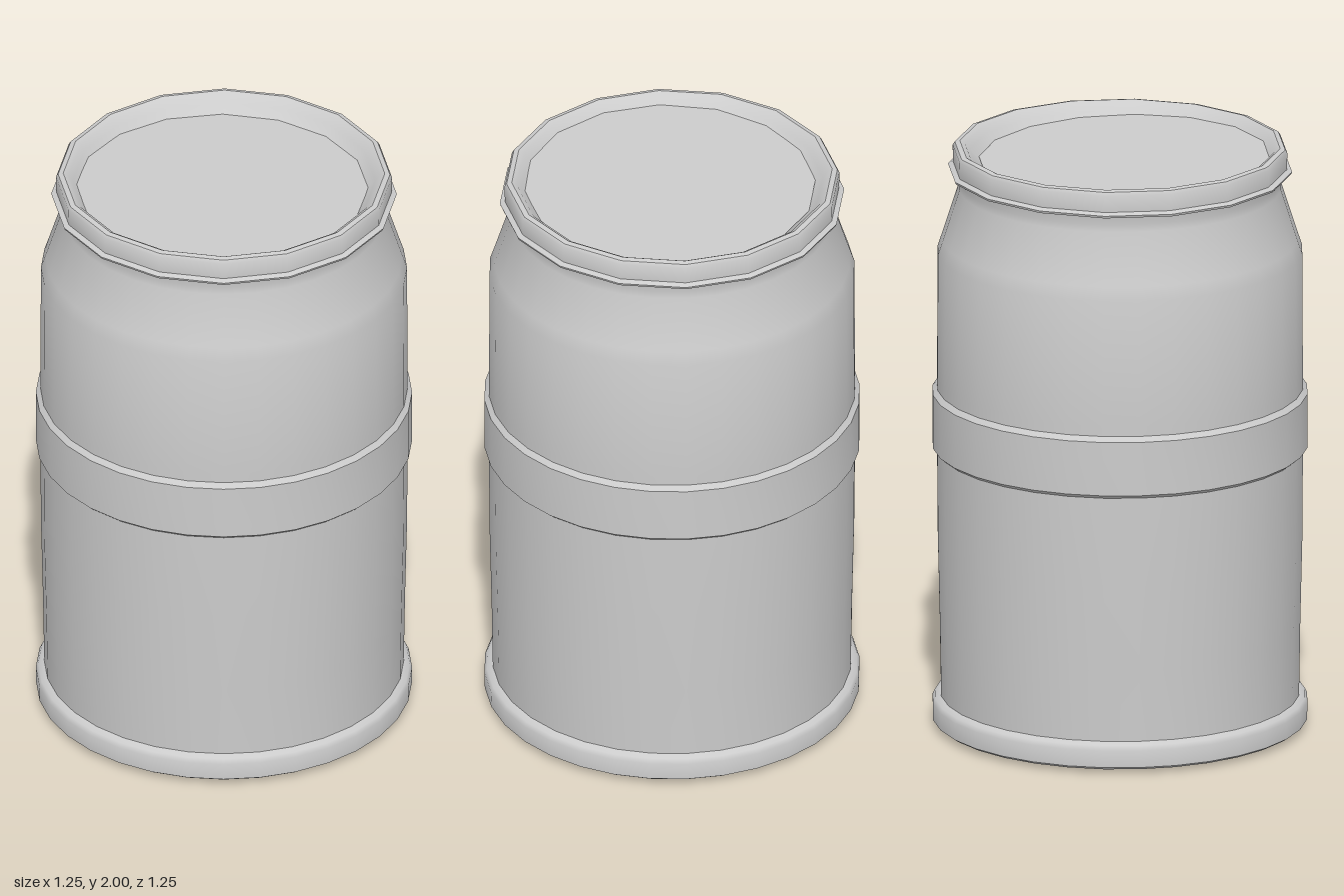
import * as THREE from 'three';
import { toCreasedNormals } from 'three/addons/utils/BufferGeometryUtils.js';

const material = new THREE.MeshStandardMaterial({ color: 0xcccccc, side: THREE.DoubleSide });

// Turned part: profile of [radius, height] points, listed from the underside upward.
function turned(name, profile, sides, crease) {
  const points = profile.map(([r, y]) => new THREE.Vector2(r, y));
  const geometry = toCreasedNormals(new THREE.LatheGeometry(points, sides), crease);
  const mesh = new THREE.Mesh(geometry, material);
  mesh.name = name;
  return mesh;
}

export function createModel() {
  const barrel = new THREE.Group();
  barrel.name = 'barrel';

  // Underside bulging slightly at its centre, inside a low foot rim
  barrel.add(turned('base', [
    [0, 0], [0.13, 0.006], [0.4, 0.024], [0.53, 0.034], [0.575, 0.03], [0.582, 0.012],
    [0.61, 0.012], [0.625, 0.022], [0.626, 0.08], [0.618, 0.096], [0.598, 0.105],
  ], 32, 0.7));

  // Slightly tapered wall, sloping shoulder and neck
  barrel.add(turned('body', [
    [0.598, 0.1], [0.602, 0.35], [0.609, 0.65], [0.611, 0.95], [0.611, 1.2],
    [0.609, 1.635], [0.594, 1.68], [0.538, 1.855], [0.536, 1.88], [0.542, 1.915],
  ], 32, 0.7));

  // Raised band round the middle
  barrel.add(turned('middleBand', [
    [0.608, 0.95], [0.626, 0.965], [0.626, 1.15], [0.608, 1.17],
  ], 32, 0.5));

  // Coarser clamping ring with a thin flange below and a rounded lip
  const lid = new THREE.Group();
  lid.name = 'lid';
  lid.add(turned('lidRing', [
    [0.52, 1.905], [0.572, 1.912], [0.575, 1.92], [0.558, 1.928], [0.559, 1.985],
    [0.552, 1.996], [0.535, 2], [0.518, 1.99], [0.503, 1.971], [0.465, 1.936],
  ], 16, 0.7));

  // Recessed lid panel, tipped down a little toward the back
  const panel = new THREE.Mesh(new THREE.CircleGeometry(0.486, 16), material);
  panel.name = 'lidPanel';
  panel.rotation.x = -Math.PI / 2 - 0.025;
  panel.position.set(0, 1.956, 0.015);
  lid.add(panel);
  barrel.add(lid);

  return barrel;
}
